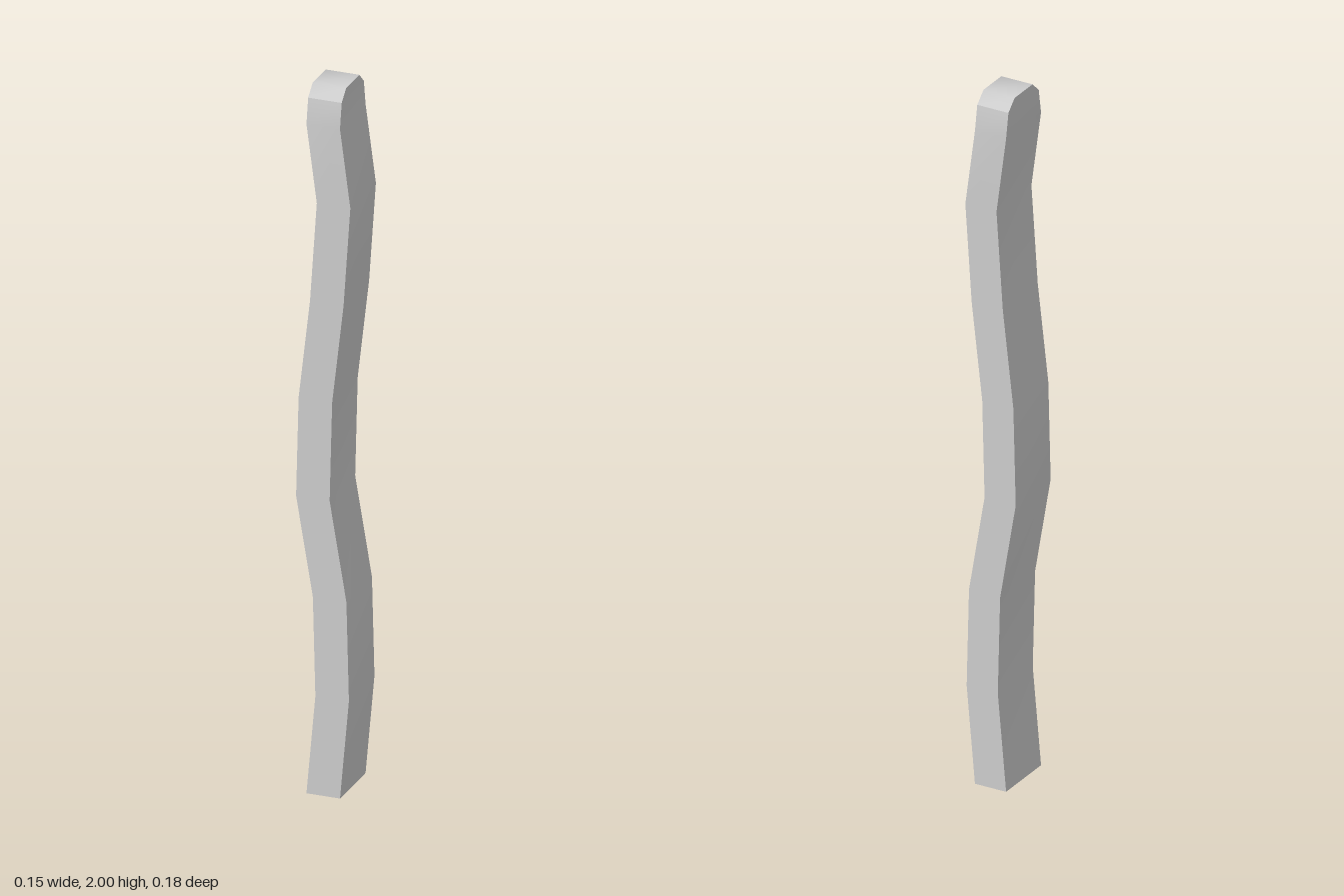
import * as THREE from 'three';
import { mergeGeometries } from 'three/addons/utils/BufferGeometryUtils.js';

const HALF_WIDTH = 0.047;

// Cross-sections from bottom to top: height, sideways shift, half depth
const SECTIONS = [
  [0, 0, 0.09],
  [0.28, 0.025, 0.09],
  [0.56, 0.018, 0.09],
  [0.84, -0.029, 0.09],
  [1.12, -0.022, 0.09],
  [1.4, 0.01, 0.09],
  [1.68, 0.029, 0.09],
  [1.9, 0, 0.09],
  [1.97, 0, 0.078],
  [2, 0, 0.046],
];

// Corner of a section; sx and sz are -1 or 1
const corner = ([y, x, depth], sx, sz) => [x + sx * HALF_WIDTH, y, sz * depth];

// Smooth strip through rows of point pairs, with hard edges at its border
function strip(rows) {
  const geometry = new THREE.BufferGeometry();
  const index = [];
  for (let i = 0; i < rows.length - 1; i++) {
    const a = i * 2;
    index.push(a, a + 1, a + 3, a, a + 3, a + 2);
  }
  geometry.setAttribute('position', new THREE.Float32BufferAttribute(rows.flat(2), 3));
  geometry.setIndex(index);
  geometry.computeVertexNormals();
  return geometry;
}

export function createModel() {
  const group = new THREE.Group();
  group.name = 'wavyPost';

  const across = (section, sz) => [corner(section, -1, sz), corner(section, 1, sz)];
  const along = (section, sx) => [corner(section, sx, sx), corner(section, sx, -sx)];
  const shaft = SECTIONS.slice(0, -1);
  const [shoulder, top] = SECTIONS.slice(-2);
  const base = SECTIONS[0];

  const geometry = mergeGeometries([
    // Wavy front and back
    strip(shaft.map((s) => across(s, 1))),
    strip([...shaft].reverse().map((s) => across(s, -1))),
    // Wavy left and right sides
    strip(SECTIONS.map((s) => along(s, 1))),
    strip(SECTIONS.map((s) => along(s, -1))),
    // Rounded top
    strip([across(shoulder, 1), across(top, 1), across(top, -1), across(shoulder, -1)]),
    // Flat underside
    strip([across(base, -1), across(base, 1)]),
  ]);

  const post = new THREE.Mesh(geometry, new THREE.MeshStandardMaterial({ color: 0xcccccc }));
  post.name = 'post';
  group.add(post);
  return group;
}
